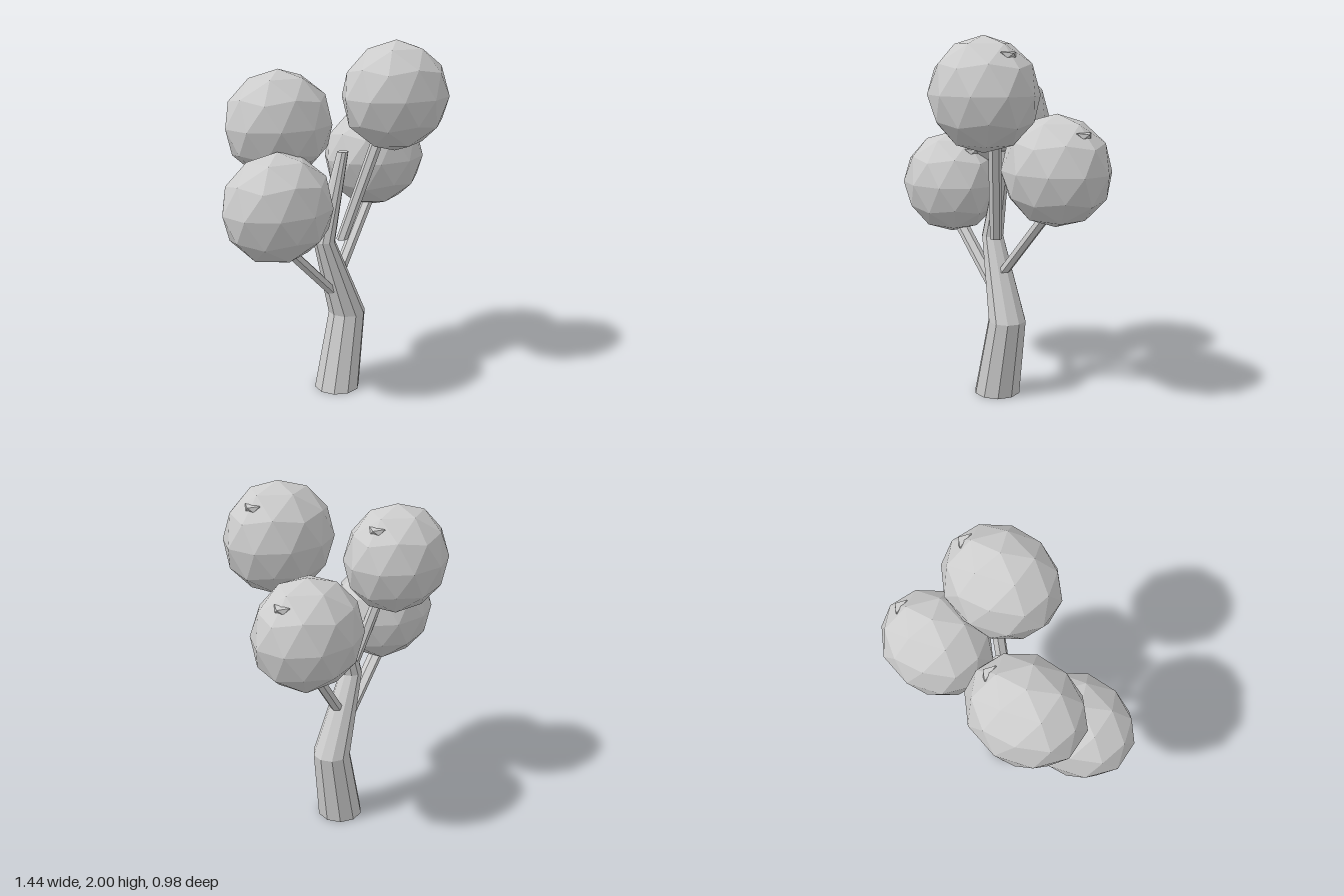
import * as THREE from 'three';
import { ConvexGeometry } from 'three/addons/geometries/ConvexGeometry.js';

const grey = new THREE.MeshStandardMaterial({ color: 0xcccccc });
grey.name = 'grey';

// Faceted mesh: every face keeps its own normal
function facetedMesh(geometry, name) {
  const flat = geometry.index ? geometry.toNonIndexed() : geometry;
  flat.computeVertexNormals();
  const mesh = new THREE.Mesh(flat, grey);
  mesh.name = name;
  return mesh;
}

// Limb through level rings, each ring being [x, y, z, radius]
function limb(rings, sides) {
  const rows = rings.length - 1;
  const geometry = new THREE.CylinderGeometry(1, 1, 1, sides, rows, false, Math.PI / 2);
  const p = geometry.attributes.position;
  for (let i = 0; i < p.count; i++) {
    const [x, y, z, r] = rings[Math.round((p.getY(i) + 0.5) * rows)];
    p.setXYZ(i, x + p.getX(i) * r, y, z + p.getZ(i) * r);
  }
  return geometry;
}

// Icosphere with one corner straight up, slightly squashed
function foliageGeometry() {
  const geometry = new THREE.IcosahedronGeometry(1, 1);
  geometry.rotateX(-Math.atan2((1 + Math.sqrt(5)) / 2, 1));
  geometry.rotateY(Math.PI / 2);
  return geometry.scale(0.318, 0.295, 0.27);
}

// Small spur that pokes out of the crown's upper left
function spurGeometry() {
  return new ConvexGeometry([
    [0.242, 0.205, 0], [0.2, 0.212, 0.047], [0.2, 0.212, -0.047],
    [0.225, 0.182, 0.025], [0.225, 0.182, -0.025], [0.1, 0.1, 0],
  ].map((c) => new THREE.Vector3(...c)));
}

export function createModel() {
  const tree = new THREE.Group();
  tree.name = 'tree';

  // Bent, tapering trunk
  tree.add(facetedMesh(limb([
    [0.022, 0, -0.023, 0.131],
    [0.108, 0.445, -0.025, 0.107],
    [-0.055, 0.9, -0.048, 0.062],
    [0.076, 1.39, -0.03, 0.032],
  ], 10), 'trunk'));

  // Each branch runs from the trunk into its foliage ball
  const limbs = [
    { name: 'top', from: [0.038, 0.9, 0, 0.033], to: [0.195, 1.48, 0.13, 0.036], ball: [0.22, 1.705, 0.22] },
    { name: 'back', from: [-0.04, 0.93, -0.06, 0.033], to: [-0.17, 1.4, -0.175, 0.033], ball: [-0.22, 1.555, -0.223] },
    { name: 'left', from: [0.065, 0.715, -0.035, 0.036], to: [0.38, 1.095, -0.09, 0.036], ball: [0.418, 1.312, -0.1] },
    { name: 'right', from: [0.02, 0.57, -0.035, 0.042], to: [-0.39, 0.96, -0.04, 0.042], ball: [-0.42, 1.165, -0.025] },
  ];
  for (const { name, from, to, ball } of limbs) {
    tree.add(facetedMesh(limb([from, to], 6), name + 'Branch'));
    const crown = new THREE.Group();
    crown.name = name + 'Crown';
    crown.position.set(...ball);
    crown.add(facetedMesh(foliageGeometry(), 'foliage'), facetedMesh(spurGeometry(), 'spur'));
    tree.add(crown);
  }
  return tree;
}
